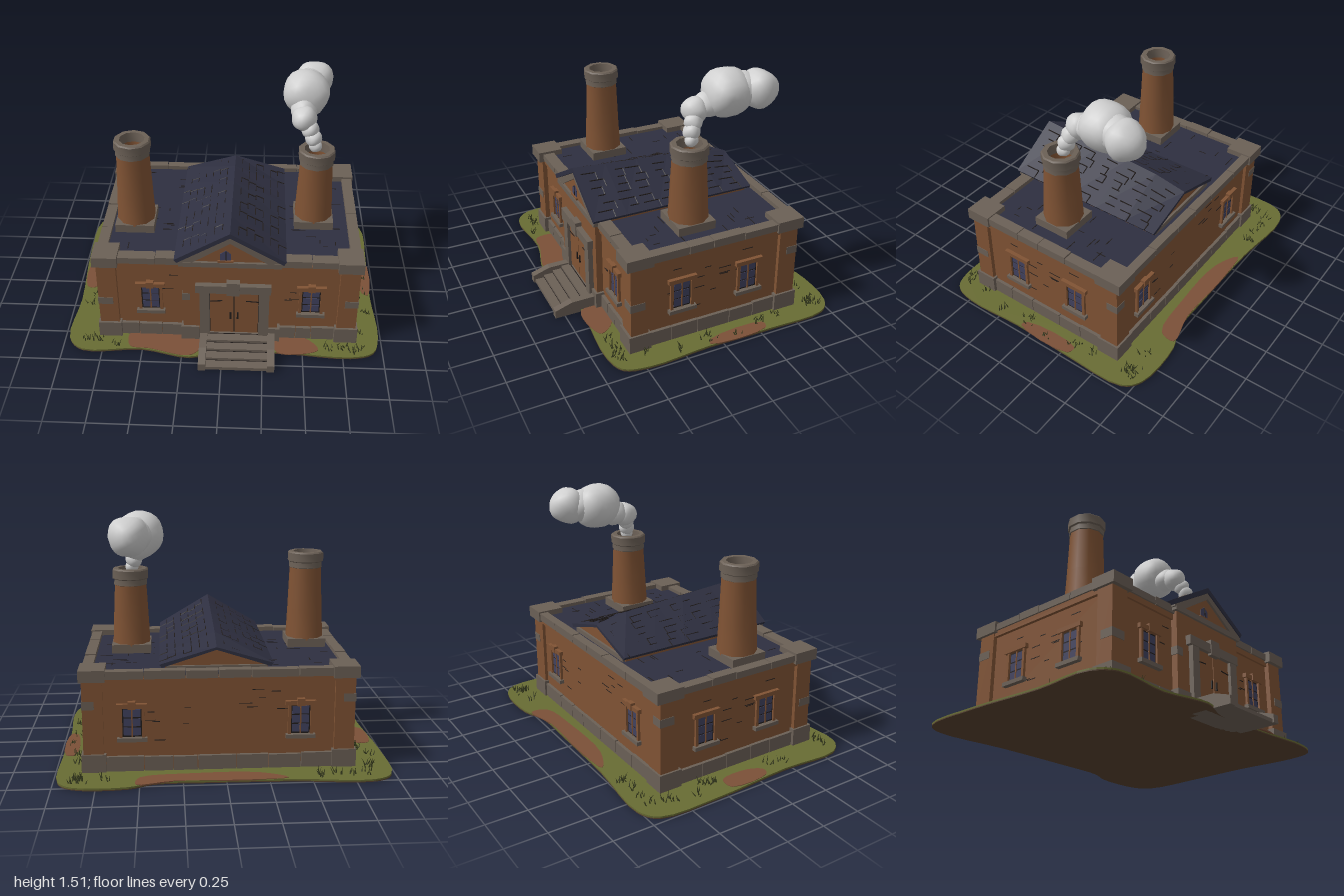
import * as THREE from 'three';
import { mergeGeometries, mergeVertices, toCreasedNormals } from 'three/addons/utils/BufferGeometryUtils.js';

const paint = (name, color, side = THREE.FrontSide) => {
  const m = new THREE.MeshStandardMaterial({ color, side });
  m.name = name;
  return m;
};

export function createModel() {
  const brick = paint('brick', 0x805334), stone = paint('stone', 0x6b6056), slate = paint('slate', 0x2e2f40);
  const grass = paint('grass', 0x686c33), dirt = paint('dirt', 0x7b5038), soil = paint('soil', 0x57412f);
  const smoke = paint('smoke', 0xcfcfcf), glass = paint('glass', 0x41425f);
  const ink = paint('dark seams', 0x211c1b), blade = paint('grass blades', 0x3b4021, THREE.DoubleSide);
  const root = new THREE.Group();
  root.name = 'boilerHouse';
  let seed = 7;
  const rnd = () => (seed = (seed * 16807) % 2147483647) / 2147483647;
  const range = (a, b) => a + (b - a) * rnd();

  const add = (name, geo, mat, parent = root) => {
    const m = new THREE.Mesh(geo, mat);
    m.name = name;
    parent.add(m);
    return m;
  };
  const boxGeo = (x0, x1, y0, y1, z0, z1) =>
    new THREE.BoxGeometry(x1 - x0, y1 - y0, z1 - z0).translate((x0 + x1) / 2, (y0 + y1) / 2, (z0 + z1) / 2);
  const box = (name, mat, x0, x1, y0, y1, z0, z1, parent) => add(name, boxGeo(x0, x1, y0, y1, z0, z1), mat, parent);
  const V = (x, y, z) => new THREE.Vector3(x, y, z);
  const poly = pts => new THREE.Shape(pts.map(p => new THREE.Vector2(p[0], p[1])));

  // Thin dark strokes, gathered into one mesh
  const strokes = [];
  const stroke = (a, b, w = 0.006) => {
    const d = b.clone().sub(a);
    const q = new THREE.Quaternion().setFromUnitVectors(V(0, 0, 1), d.clone().normalize());
    const g = new THREE.BoxGeometry(w, w, d.length()).applyQuaternion(q);
    strokes.push(g.translate((a.x + b.x) / 2, (a.y + b.y) / 2, (a.z + b.z) / 2));
  };

  // Ground: soft-edged slab, grass on soil, with worn dirt patches
  const blob = (pts, y0, y1) => {
    const curve = new THREE.CatmullRomCurve3(pts.map(p => V(p[0], -p[1], 0)), true);
    const shape = poly(curve.getPoints(pts.length * 4).map(p => [p.x, p.y]));
    return new THREE.ExtrudeGeometry(shape, { depth: y1 - y0, bevelEnabled: false }).rotateX(-Math.PI / 2).translate(0, y0, 0);
  };
  const outline = [[-0.97, -0.69], [-0.86, -0.765], [-0.4, -0.735], [0.1, -0.725], [0.42, -0.73], [0.56, -0.785], [0.88, -0.775],
    [0.97, -0.69], [0.98, -0.3], [0.97, 0.1], [0.985, 0.48], [0.94, 0.63], [0.8, 0.675], [0.4, 0.65], [0, 0.65],
    [-0.2, 0.71], [-0.5, 0.65], [-0.87, 0.67], [-0.97, 0.57], [-0.96, 0.2], [-0.99, -0.3]];
  add('soil', blob(outline, 0, 0.006), soil);
  add('lawn', blob(outline, 0.006, 0.016), grass);
  [[[-0.36, -0.71], [-0.1, -0.73], [0.3, -0.72], [0.52, -0.76], [0.5, -0.66], [0.2, -0.62], [-0.2, -0.63]],
    [[-0.95, -0.19], [-0.86, -0.19], [-0.85, 0], [-0.9, 0.08], [-0.95, 0.06]],
    [[-0.58, 0.5], [-0.15, 0.5], [-0.13, 0.62], [-0.2, 0.7], [-0.45, 0.65], [-0.58, 0.63]],
    [[0.33, 0.52], [0.52, 0.52], [0.6, 0.62], [0.5, 0.66], [0.34, 0.65]],
    [[0.91, -0.3], [0.965, -0.29], [0.96, 0.08], [0.92, 0.06]]]
    .forEach(p => add('dirtPatch', blob(p, 0.012, 0.019), dirt));

  // Grass tufts round the lawn
  const blades = [];
  const tuft = (x, z) => {
    for (let i = 0; i < 6; i++) {
      const h = range(0.025, 0.055);
      blades.push(new THREE.ConeGeometry(0.005, h, 3).translate(0, h / 2, 0).rotateX(range(-0.5, 0.5)).rotateZ(range(-0.5, 0.5))
        .translate(x + range(-0.03, 0.03), 0.014, z + range(-0.03, 0.03)));
    }
  };
  for (let i = 0; i < 9; i++) {
    tuft(range(0.86, 0.94), range(-0.7, 0.55));
    tuft(range(-0.93, -0.82), range(-0.7, 0.6));
    tuft(i < 5 ? range(0.6, 0.9) : range(-0.9, -0.65), range(0.57, 0.63));
    tuft(i < 5 ? range(0.55, 0.9) : range(-0.9, -0.45), range(-0.72, -0.65));
  }
  add('grassTufts', mergeGeometries(blades), blade);

  // Brick walls, corbel band, front bay and corner piers
  box('walls', brick, -0.745, 0.805, 0.01, 0.59, -0.54, 0.5);
  box('corbel', brick, -0.765, 0.825, 0.55, 0.585, -0.56, 0.515);
  box('frontBay', brick, -0.245, 0.34, 0.01, 0.63, 0.45, 0.54);
  for (const [x0, x1] of [[-0.77, -0.65], [0.71, 0.83]])
    for (const [z0, z1] of [[-0.56, -0.44], [0.42, 0.53]]) {
      box('cornerPier', brick, x0, x1, 0.1, 0.58, z0, z1);
      box('cornerPlinth', stone, x0 - 0.012, x1 + 0.012, 0.008, 0.125, z0 - 0.012, z1 + 0.015);
      box('parapetCorner', stone, x0 - 0.018, x1 - 0.005 + 0.02, 0.572, 0.642, z0 - 0.028, z1 + 0.025);
    }
  // A few worn stone quoins
  for (const [x0, x1, y, z0, z1] of [[0.75, 0.833, 0.29, 0.44, 0.534], [-0.773, -0.68, 0.27, 0.45, 0.534], [0.76, 0.833, 0.4, -0.563, -0.49],
    [-0.773, -0.7, 0.42, -0.563, -0.47], [-0.25, -0.2, 0.33, 0.46, 0.544]]) box('quoin', stone, x0, x1, y, y + 0.05, z0, z1);

  // Plinth blocks and parapet slabs, with uneven lengths
  const run = (name, a, b, n, y0, y1, make) => {
    for (let i = 0, p = a; i < n; i++) {
      const e = i === n - 1 ? b : a + (b - a) * (i + range(0.8, 1.2)) / n;
      const [x0, x1, z0, z1] = make(p, e - 0.004);
      box(name, stone, x0, x1, y0, y1 + range(-0.006, 0.004), z0, z1);
      p = e;
    }
  };
  run('plinthBlock', -0.64, -0.245, 3, 0.008, 0.105, (a, b) => [a, b, 0.48, 0.52]);
  run('plinthBlock', 0.34, 0.7, 3, 0.008, 0.105, (a, b) => [a, b, 0.48, 0.52]);
  run('plinthBlock', -0.64, 0.7, 7, 0.008, 0.105, (a, b) => [a, b, -0.56, -0.52]);
  run('plinthBlock', -0.43, 0.41, 5, 0.008, 0.105, (a, b) => [0.78, 0.825, a, b]);
  run('plinthBlock', -0.43, 0.41, 5, 0.008, 0.105, (a, b) => [-0.765, -0.72, a, b]);
  run('parapetSlab', -0.65, -0.24, 2, 0.585, 0.632, (a, b) => [a, b, 0.45, 0.525]);
  run('parapetSlab', 0.34, 0.71, 2, 0.585, 0.632, (a, b) => [a, b, 0.45, 0.525]);
  run('parapetSlab', -0.65, 0.71, 6, 0.585, 0.632, (a, b) => [a, b, -0.58, -0.525]);
  run('parapetSlab', -0.44, 0.42, 4, 0.585, 0.632, (a, b) => [0.77, 0.835, a, b]);
  run('parapetSlab', -0.44, 0.42, 4, 0.585, 0.632, (a, b) => [-0.775, -0.71, a, b]);
  for (const [x0, x1] of [[-0.26, -0.145], [0.24, 0.355]]) box('bayPlinth', stone, x0, x1, 0.008, 0.12, 0.5, 0.555);

  // Flat slate roof with broken tile seams
  box('flatRoof', slate, -0.715, 0.775, 0.58, 0.606, -0.53, 0.455);
  for (let i = 0; i < 34; i++) {
    const x = i % 2 ? range(-0.68, -0.32) : range(0.4, 0.7), z = range(-0.48, 0.4), l = range(0.03, 0.09);
    stroke(V(x, 0.605, z), i % 3 ? V(x + l, 0.605, z) : V(x, 0.605, z + l), 0.005);
  }

  // Gabled roof whose ridge sags toward the back
  const cx = 0.045, eave = 0.645;
  const sag = z => z > -0.3 ? 1 - 0.3 * (0.56 - z) / 0.86 : 0.7 - 0.2 * (-0.3 - z) / 0.2;
  const sagRoof = g => {
    const p = g.attributes.position;
    for (let i = 0; i < p.count; i++) {
      const y = p.getY(i);
      if (y > eave) p.setY(i, eave + (y - eave) * sag(p.getZ(i)));
    }
    g.computeVertexNormals();
    return g;
  };
  const gable = (pts, z0, z1, steps) =>
    sagRoof(new THREE.ExtrudeGeometry(poly(pts), { depth: z1 - z0, steps, bevelEnabled: false }).translate(cx, 0, z0));
  add('gableRoof', gable([[-0.335, 0.65], [-0.32, 0.628], [0, 0.818], [0.32, 0.628], [0.335, 0.65], [0, 0.85]], -0.5, 0.56, 5), slate);
  add('gableCore', gable([[-0.3, 0.6], [0.3, 0.6], [0.3, 0.635], [0, 0.818], [-0.3, 0.635]], -0.475, 0.54, 5), brick);
  add('rakingTrim', gable([[-0.32, 0.615], [-0.25, 0.615], [0, 0.775], [0.25, 0.615], [0.32, 0.615], [0.32, 0.626], [0, 0.816], [-0.32, 0.626]], 0.53, 0.554, 1), stone);
  box('pedimentBeam', stone, -0.265, 0.355, 0.598, 0.632, 0.5, 0.556);
  box('backGableBeam', stone, -0.25, 0.34, 0.6, 0.635, -0.49, -0.46);
  add('atticWindow', new THREE.ExtrudeGeometry(poly([[-0.035, 0.645], [0.03, 0.645], [0.03, 0.69], [0, 0.715], [-0.035, 0.69]]),
    { depth: 0.008, bevelEnabled: false }).translate(0.02, 0, 0.536), glass);
  stroke(V(0.02, 0.645, 0.544), V(0.02, 0.712, 0.544));
  box('atticSill', brick, -0.03, 0.065, 0.632, 0.645, 0.53, 0.552);
  // Shingle courses on both slopes
  const slope = (s, u, z) => V(cx + s * 0.335 * u, eave + (0.85 - eave - 0.2 * u) * sag(z), z);
  for (const s of [-1, 1])
    for (let r = 1; r < 7; r++)
      for (let k = 0; k < 7; k++) {
        const u = r / 7, z = -0.47 + k * 0.143 + range(0, 0.05);
        stroke(slope(s, u, z), slope(s, u, z + range(0.04, 0.11)), 0.005);
        if (rnd() < 0.6) stroke(slope(s, u, z), slope(s, Math.min(1, u + 0.14), z), 0.005);
      }

  // Doorway: stone surround, double doors, handles
  const door = new THREE.Group();
  door.name = 'doorway';
  root.add(door);
  for (const [x0, x1] of [[-0.14, -0.08], [0.222, 0.285]]) box('doorPost', stone, x0, x1, 0.07, 0.42, 0.52, 0.57, door);
  box('doorLintel', stone, -0.165, 0.295, 0.412, 0.468, 0.52, 0.575, door);
  box('keystone', stone, 0.025, 0.105, 0.4, 0.495, 0.52, 0.58, door);
  for (const s of [-1, 1]) {
    const a = 0.071 + s * 0.003, b = 0.071 + s * 0.148;
    box('doorLeaf', brick, Math.min(a, b), Math.max(a, b), 0.085, 0.41, 0.53, 0.552, door);
    box('doorHandle', ink, 0.066 + s * 0.022, 0.076 + s * 0.022, 0.2, 0.25, 0.55, 0.56, door);
    stroke(V(a + s * 0.07, 0.34, 0.552), V(b, 0.335, 0.552));
  }
  box('doorGap', ink, -0.08, 0.222, 0.08, 0.412, 0.536, 0.543, door);

  // Front steps between sloping cheek walls
  const cheek = poly([[0.55, 0], [0.81, 0], [0.81, 0.05], [0.7, 0.085], [0.55, 0.085]]);
  for (const x of [-0.095, 0.325])
    add('stepCheek', new THREE.ExtrudeGeometry(cheek, { depth: 0.045, bevelEnabled: false }).rotateY(-Math.PI / 2).translate(x, 0, 0), stone);
  for (let i = 0; i < 4; i++) {
    box('step', stone, -0.095, 0.28, 0, 0.022 + i * 0.018, 0.5, 0.8 - i * 0.06);
    stroke(V(-0.095, 0.022 + i * 0.018, 0.74 - i * 0.06), V(0.28, 0.022 + i * 0.018, 0.74 - i * 0.06), 0.005);
  }

  // Windows: recess, six panes, surround, sill and lintel
  const makeWindow = (x, z, turn) => {
    const g = new THREE.Group();
    g.name = 'window';
    box('recess', ink, -0.064, 0.064, 0.222, 0.405, -0.01, 0.003, g);
    for (let c = 0; c < 2; c++)
      for (let r = 0; r < 3; r++)
        box('pane', glass, c * 0.054 - 0.05, c * 0.054 - 0.004, 0.234 + r * 0.056, 0.282 + r * 0.056, 0, 0.006, g);
    for (const s of [-1, 1]) box('jamb', brick, s * 0.066 - 0.009, s * 0.066 + 0.009, 0.22, 0.408, -0.01, 0.016, g);
    box('mullion', brick, -0.004, 0.004, 0.225, 0.405, 0, 0.01, g);
    box('sill', stone, -0.088, 0.088, 0.2, 0.224, -0.01, 0.03, g);
    box('lintel', brick, -0.09, 0.09, 0.403, 0.43, -0.01, 0.024, g);
    if (Math.abs(turn) !== Math.PI / 2) box('lintelKey', brick, -0.022, 0.022, 0.4, 0.445, -0.01, 0.03, g);
    g.position.set(x, 0, z);
    g.rotation.y = turn;
    root.add(g);
  };
  for (const x of [-0.448, 0.543]) {
    makeWindow(x, 0.5, 0);
    makeWindow(x, -0.54, Math.PI);
  }
  for (const z of [0.2, -0.24]) {
    makeWindow(0.805, z, Math.PI / 2);
    makeWindow(-0.745, z, -Math.PI / 2);
  }

  // Scattered brick joints on all four walls
  for (let i = 0; i < 16; i++) {
    const y = range(0.14, 0.53), l = range(0.03, 0.08), z = range(-0.4, 0.34), x = range(-0.62, 0.6);
    stroke(V(0.805, y, z), V(0.805, y, z + l), 0.004);
    stroke(V(-0.745, y, -z), V(-0.745, y, -z - l), 0.004);
    stroke(V(x, y, -0.54), V(x + l, y, -0.54), 0.004);
    if (x < -0.32 || x > 0.35) stroke(V(x, y, 0.5), V(x + l, y, 0.5), 0.004);
  }
  add('seams', mergeGeometries(strokes), ink);

  // Chimneys: stone foot, tapering brick shaft, hollow stone cap
  const lathe = pts => toCreasedNormals(new THREE.LatheGeometry(pts.map(p => new THREE.Vector2(p[0], p[1])), 10), 0.7);
  const chimney = (x, z, top) => {
    const g = new THREE.Group();
    g.name = 'chimney';
    g.position.set(x, 0, z);
    root.add(g);
    box('foot', stone, -0.122, 0.122, 0.595, 0.66, -0.12, 0.12, g);
    add('shaft', lathe([[0.122, 0.65], [0.112, 0.85], [0.1, top - 0.06]]), brick, g);
    add('collar', lathe([[0.098, top - 0.105], [0.107, top - 0.1], [0.105, top - 0.065], [0.098, top - 0.06]]), stone, g);
    add('cap', lathe([[0.1, top - 0.07], [0.115, top - 0.06], [0.115, top - 0.008], [0.107, top], [0.078, top], [0.072, top - 0.06]]), stone, g);
    add('flue', lathe([[0.076, top - 0.03], [0.07, top - 0.12], [0, top - 0.12]]), brick, g);
  };
  chimney(-0.565, 0.115, 1.215);
  chimney(0.555, 0.035, 1.13);

  // Smoke drifting toward the back
  [[0.545, 1.14, 0.02, 0.04], [0.53, 1.185, 0.01, 0.052], [0.51, 1.235, -0.01, 0.055], [0.47, 1.29, -0.04, 0.078], [0.47, 1.31, -0.12, 0.08],
    [0.485, 1.37, -0.235, 0.146], [0.51, 1.38, -0.33, 0.105], [0.545, 1.382, -0.41, 0.117]].forEach(([x, y, z, r], i) => {
    const g = new THREE.IcosahedronGeometry(1, 3);
    g.deleteAttribute('uv');
    g.deleteAttribute('normal');
    const m = mergeVertices(g, 1e-3), p = m.attributes.position;
    for (let k = 0; k < p.count; k++) {
      const v = V().fromBufferAttribute(p, k);
      v.multiplyScalar(r * (1 + 0.05 * Math.sin(4 * v.x + i * 2) * Math.cos(3 * v.y + i) + 0.03 * Math.sin(5 * v.z + i)));
      p.setXYZ(k, v.x + x, v.y + y, v.z + z);
    }
    m.computeVertexNormals();
    add('smokePuff', m, smoke);
  });
  return root;
}
